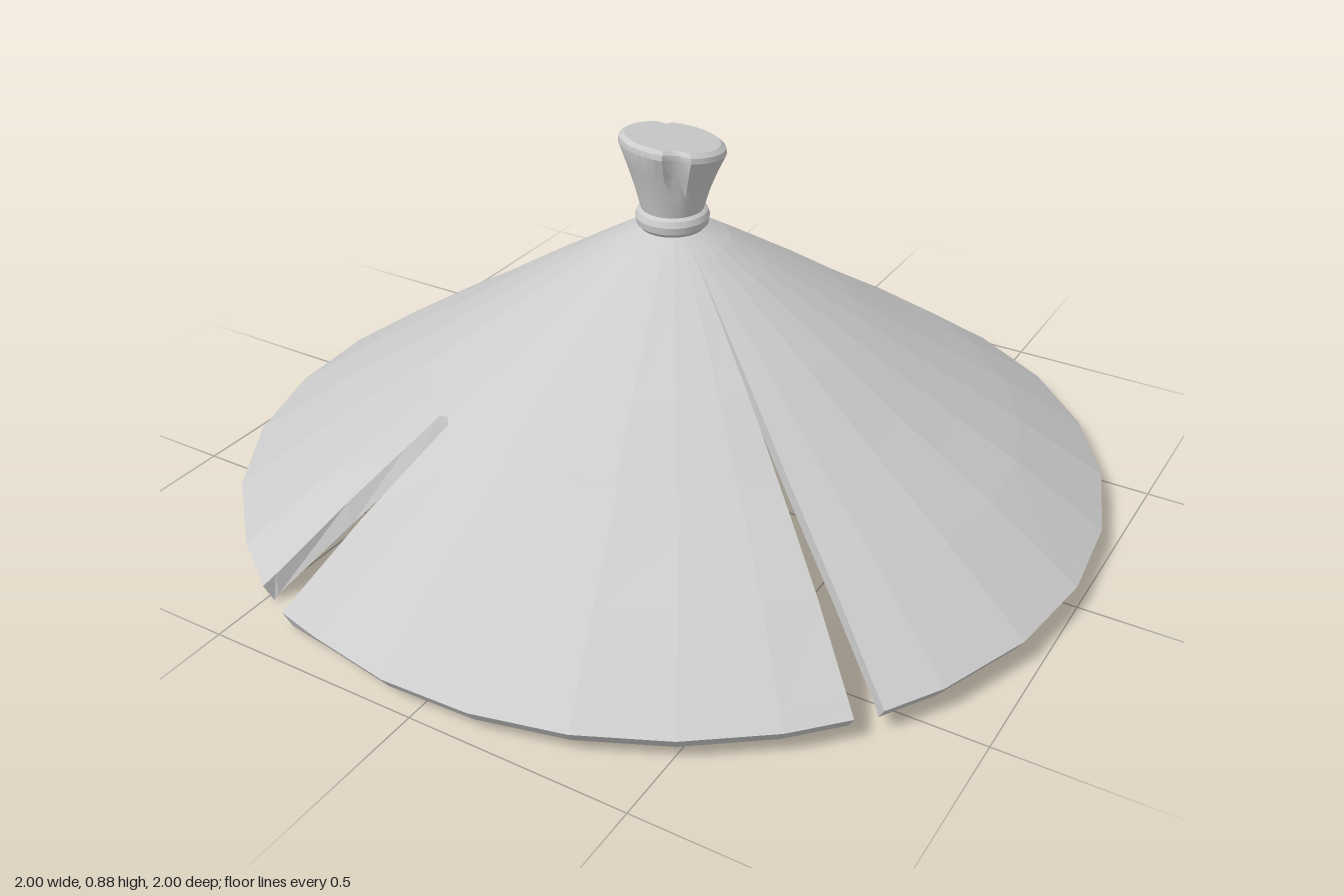
import * as THREE from 'three';
import { toCreasedNormals } from 'three/addons/utils/BufferGeometryUtils.js';

const RAD = Math.PI / 180;
const lerp = THREE.MathUtils.lerp;

// Slits: tip radius, edge angles at the tip and at the rim, sag of the edges
const slits = [
  { tip: 0.13, at: [35.8, 36.2], rim: [35.5, 39.2], sag: 0 },
  { tip: 0.58, at: [114.6, 118.8], rim: [113.3, 119.4], sag: 0.035 },
  { tip: 0.42, at: [208.1, 208.6], rim: [205, 207.9], sag: 0.004 },
];

// Radii of the rings, and the height of the cone above them
const rings = [0, 0.06, 0.13, 0.21, 0.42, 0.5, 0.57, 0.58, 0.66, 0.8, 0.97, 1];
const slope = [[0, 0.68], [0.08, 0.66], [0.34, 0.5], [0.6, 0.328], [0.8, 0.203], [1, 0.065]];
function heightAt(r) {
  const i = Math.max(1, slope.findIndex((p) => p[0] >= r));
  const [a, b] = [slope[i - 1], slope[i]];
  return lerp(a[1], b[1], (r - a[0]) / (b[0] - a[0]));
}

// Angle of one edge of a slit; the underside closes a little further out
function edgeAngle(slit, side, r, inner) {
  const tip = slit.tip + (inner ? 0.08 : 0);
  const mid = (slit.at[0] + slit.at[1]) / 2;
  if (r < tip || (inner && r <= tip)) return mid;
  const t = (r - tip) / (1 - tip);
  return lerp(inner ? mid : slit.at[side], slit.rim[side], t);
}

// One solid panel of the cone between two neighbouring slits
function panel(from, to, turn) {
  const span = to.rim[0] + turn - from.rim[1];
  const margin = 8 / span;
  const n = Math.round((span - 16) / 12.9);
  const cols = [0];
  for (let i = 0; i <= n; i++) cols.push(lerp(margin, 1 - margin, i / n));
  cols.push(1);
  const last = rings.length - 1;

  const point = (k, j, inner) => {
    const r = rings[k];
    const a = lerp(edgeAngle(from, 1, r, inner), edgeAngle(to, 0, r, inner) + turn, cols[j]) * RAD;
    const sag = j === 0 ? from : j === cols.length - 1 ? to : null;
    let y = heightAt(r) - (inner ? (k === last ? 0.03 : 0.036) : 0);
    if (sag) {
      y -= sag.sag * (inner ? 1 : 0.6) * THREE.MathUtils.clamp((r - sag.tip) / (0.97 - sag.tip), 0, 1);
    }
    const rr = inner && k === last ? 0.98 : r;
    return [rr * Math.cos(a), y, rr * Math.sin(a)];
  };

  const pos = [];
  const quad = (a, b, c, d) => pos.push(...a, ...b, ...c, ...a, ...c, ...d);
  for (let j = 0; j < cols.length - 1; j++) {
    for (let k = 0; k < last; k++) {
      quad(point(k, j), point(k, j + 1), point(k + 1, j + 1), point(k + 1, j));
      quad(point(k, j, true), point(k + 1, j, true), point(k + 1, j + 1, true), point(k, j + 1, true));
    }
    // Rim band
    quad(point(last, j), point(last, j + 1), point(last, j + 1, true), point(last, j, true));
  }
  // Slit walls
  const e = cols.length - 1;
  for (let k = 0; k < last; k++) {
    if (rings[k + 1] >= from.tip) quad(point(k, 0), point(k + 1, 0), point(k + 1, 0, true), point(k, 0, true));
    if (rings[k + 1] >= to.tip) quad(point(k, e), point(k, e, true), point(k + 1, e, true), point(k + 1, e));
  }
  const geo = new THREE.BufferGeometry();
  geo.setAttribute('position', new THREE.Float32BufferAttribute(pos, 3));
  geo.computeVertexNormals();
  return geo;
}

// Flared knob with a tilted, chipped top
function knob() {
  const profile = [
    [0, 0.65], [0.068, 0.655], [0.08, 0.668], [0.083, 0.685], [0.078, 0.698], [0.07, 0.704],
    [0.084, 0.755], [0.1, 0.8], [0.118, 0.845], [0.116, 0.857], [0.105, 0.865], [0, 0.865],
  ].map((p) => new THREE.Vector2(...p));
  const geo = new THREE.LatheGeometry(profile, 36);
  const p = geo.attributes.position;
  for (let i = 0; i < p.count; i++) {
    let x = p.getX(i), y = p.getY(i), z = p.getZ(i);
    const a = Math.atan2(z, x) / RAD;
    const chipped = Math.abs(a - 55) < 14 || Math.abs(a + 130) < 9;
    if (chipped && y > 0.78 && Math.hypot(x, z) > 0.02) {
      x *= 0.87;
      z *= 0.87;
    }
    const lift = THREE.MathUtils.clamp((y - 0.72) / 0.13, 0, 1);
    p.setXYZ(i, x, y + lift * (0.13 * z - 0.08 * x), z);
  }
  return toCreasedNormals(geo, 0.5);
}

export function createModel() {
  const group = new THREE.Group();
  group.name = 'slitConeLid';
  const coneMaterial = new THREE.MeshStandardMaterial({ color: 0xcccccc, flatShading: true });
  const knobMaterial = new THREE.MeshStandardMaterial({ color: 0xcccccc });

  const cone = new THREE.Group();
  cone.name = 'cone';
  slits.forEach((slit, i) => {
    const next = slits[(i + 1) % slits.length];
    const mesh = new THREE.Mesh(panel(slit, next, i === slits.length - 1 ? 360 : 0), coneMaterial);
    mesh.name = `conePanel${i + 1}`;
    cone.add(mesh);
  });
  group.add(cone);

  const top = new THREE.Mesh(knob(), knobMaterial);
  top.name = 'knob';
  group.add(top);
  return group;
}
